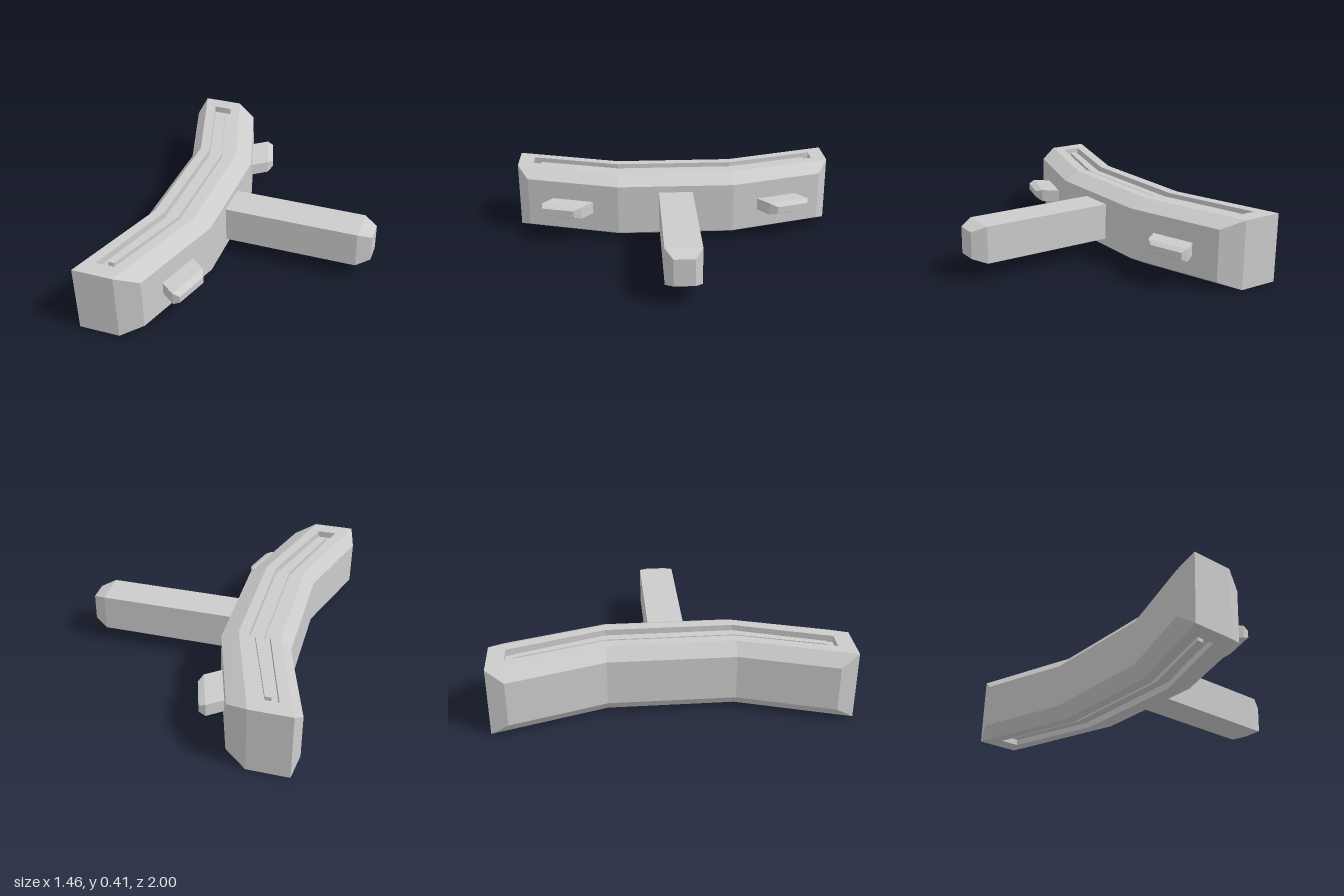
import * as THREE from 'three';

const material = new THREE.MeshStandardMaterial({ color: 0xcccccc, flatShading: true });

// Skins a stack of equal-length rings (counter-clockwise seen from the first one) and caps both ends.
function loft(name, rings, capQuads) {
  const pos = [];
  const tri = (a, b, c) => {
    const [A, B, C] = [a, b, c].map((p) => new THREE.Vector3(...p));
    if (B.sub(A).cross(C.sub(A)).length() > 1e-7) pos.push(...a, ...b, ...c);
  };
  const quad = (a, b, c, d) => { tri(a, b, c); tri(a, c, d); };
  for (let r = 0; r < rings.length - 1; r++) {
    const A = rings[r], B = rings[r + 1], n = A.length;
    for (let i = 0; i < n; i++) {
      const j = (i + 1) % n;
      quad(A[i], B[i], B[j], A[j]);
    }
  }
  const first = rings[0], last = rings[rings.length - 1];
  for (const q of capQuads) {
    quad(...q.map((i) => first[i]));
    quad(...q.map((i) => last[i]).reverse());
  }
  const geometry = new THREE.BufferGeometry();
  geometry.setAttribute('position', new THREE.Float32BufferAttribute(pos, 3));
  geometry.computeVertexNormals();
  const mesh = new THREE.Mesh(geometry, material);
  mesh.name = name;
  return mesh;
}

// Completes a z > 0 half ring with its mirror image.
const mirrorRing = (half) => [...half, ...half.map(([x, y, z]) => [x, y, -z]).reverse()];

// Bent, level outline: back and front x in the middle and at the ends.
function bentRing(y, midBack, endBack, endFront, midFront, zEnd) {
  const b = [endBack, y, zEnd], f = [endFront, y, zEnd];
  return mirrorRing([[midBack, y, 0.36], b, b, f, f, [midFront, y, 0.36]]);
}

// Upright rectangle between two plan points [x, z], the first with the larger z.
const uprightRing = ([x1, z1], [x2, z2], y0, y1) =>
  [[x1, y0, z1], [x2, y0, z2], [x2, y1, z2], [x1, y1, z1]];

export function createModel() {
  const group = new THREE.Group();
  const H = 0.405;

  // Bent body, with a groove and a central rib on the top and the underside
  const upper = [
    bentRing(H - 0.015, -0.405, -0.555, -0.52, -0.355, 0.86),
    bentRing(H - 0.04, -0.405, -0.555, -0.52, -0.355, 0.86),
    bentRing(H - 0.04, -0.44, -0.605, -0.495, -0.32, 0.905),
    bentRing(H, -0.44, -0.605, -0.495, -0.32, 0.905),
    bentRing(H, -0.5, -0.7, -0.46, -0.26, 1),
    mirrorRing([[-0.56, 0.335, 0.36], [-0.73, 0.335, 0.9], [-0.7, H, 1],
      [-0.46, H, 1], [-0.335, 0.355, 0.93], [-0.16, 0.355, 0.36]]),
  ];
  const lower = upper.map((ring) => ring.map(([x, y, z]) => [x, H - y, z])).reverse();
  group.add(loft('body', [...upper, ...lower], [[0, 1, 4, 5], [0, 5, 6, 11], [6, 7, 10, 11]]));

  // Long post with a tapered tip
  const postRing = (x, z, y0, y1) => uprightRing([x, z], [x, -z], y0, y1);
  group.add(loft('post', [
    postRing(0.725, 0.06, 0.125, 0.285),
    postRing(0.645, 0.105, 0.095, 0.315),
    postRing(-0.25, 0.105, 0.095, 0.315),
  ], [[0, 1, 2, 3]]));

  // Two slanted pegs on the angled wings
  for (const [name, s] of [['frontPeg', 1], ['backPeg', -1]]) {
    const ring = (far, near, y0, y1) => {
      const a = [far[0], far[1] * s], b = [near[0], near[1] * s];
      return s > 0 ? uprightRing(a, b, y0, y1) : uprightRing(b, a, y0, y1);
    };
    group.add(loft(name, [
      ring([-0.16, 0.83], [-0.1, 0.635], 0.185, 0.225),
      ring([-0.2, 0.835], [-0.12, 0.585], 0.167, 0.242),
      ring([-0.325, 0.74], [-0.245, 0.49], 0.167, 0.242),
    ], [[0, 1, 2, 3]]));
  }
  return group;
}
